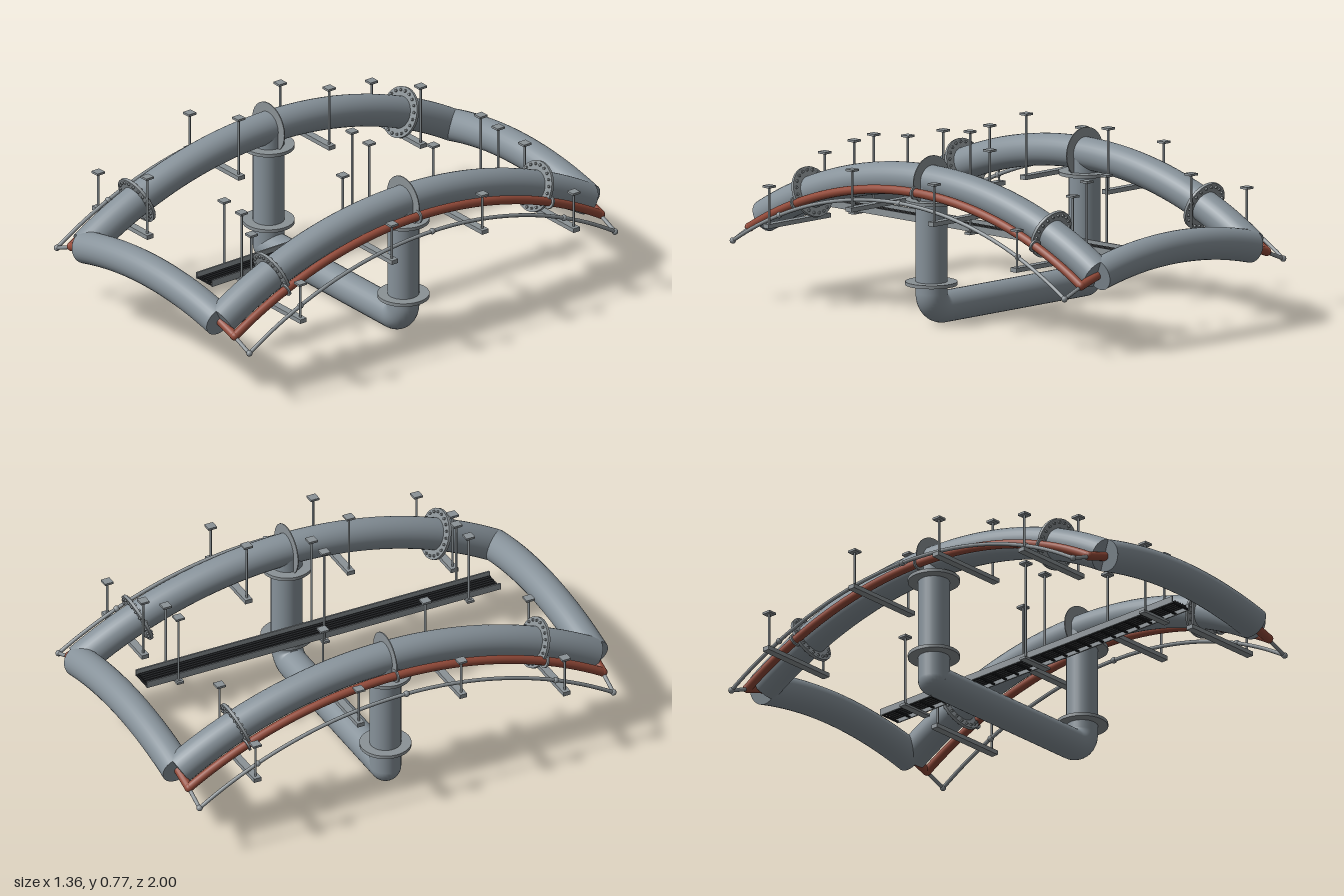
import * as THREE from 'three';

const mat = (name, color) => {
  const m = new THREE.MeshStandardMaterial({ color, side: THREE.DoubleSide });
  m.name = name;
  return m;
};

// Shallow circular arch; axis 'z' runs front to back, axis 'x' runs across
class ArchCurve extends THREE.Curve {
  constructor(axis, fixed, top, half, sag) {
    super();
    Object.assign(this, { axis, fixed, top, half });
    this.R = (half * half + sag * sag) / (2 * sag);
    this.a = Math.asin(half / this.R);
  }
  getPoint(t, target = new THREE.Vector3()) {
    const a = (1 - 2 * t) * this.a, s = this.R * Math.sin(a);
    const y = this.top - this.R * (1 - Math.cos(a));
    return this.axis === 'z' ? target.set(this.fixed, y, s) : target.set(s, y, this.fixed);
  }
  // curve parameter at a given distance along the axis
  at(s) { return (1 - Math.asin(s / this.R) / this.a) / 2; }
}

export function createModel() {
  const root = new THREE.Group();
  root.name = 'pipeRack';
  const steel = mat('steel grey', 0x87929a);
  const fitting = mat('fitting grey', 0x8b9296);
  const red = mat('oxide red', 0x934a39);
  const dark = mat('cable black', 0x232528);
  const Z = new THREE.Vector3(0, 0, 1), Y = new THREE.Vector3(0, 1, 0);

  const add = (name, geo, material, pos = [0, 0, 0], parent = root) => {
    const m = new THREE.Mesh(geo, material);
    m.name = name;
    m.position.set(...pos);
    parent.add(m);
    return m;
  };
  const box = (name, size, pos, material) => add(name, new THREE.BoxGeometry(...size), material, pos);

  // Straight pipe between two points
  const rod = (name, a, b, r, material, sides = 10) => {
    const p = new THREE.Vector3(...a), q = new THREE.Vector3(...b), d = q.clone().sub(p);
    const m = add(name, new THREE.CylinderGeometry(r, r, d.length(), sides), material, p.add(q).multiplyScalar(0.5).toArray());
    m.quaternion.setFromUnitVectors(Y, d.normalize());
    return m;
  };

  // Curved pipe with closed ends
  const pipe = (name, curve, r, material, sides = 28, steps = 48) => {
    add(name, new THREE.TubeGeometry(curve, steps, r, sides), material);
    for (const t of [0, 1]) {
      const cap = add(name + 'Cap', new THREE.CircleGeometry(r, sides), material, curve.getPoint(t).toArray());
      cap.quaternion.setFromUnitVectors(Z, curve.getTangent(t).multiplyScalar(t ? 1 : -1));
    }
  };

  // Flat ring around a pipe, optionally with a circle of bolts
  const flange = (name, pos, dir, rOut, thick, bolts = 0) => {
    const g = new THREE.Group();
    g.name = name;
    g.position.copy(pos);
    g.quaternion.setFromUnitVectors(Y, dir.clone().normalize());
    root.add(g);
    add('ring', new THREE.CylinderGeometry(rOut, rOut, thick, 32), fitting, [0, 0, 0], g);
    for (let i = 0; i < bolts; i++) {
      const a = (i / bolts) * Math.PI * 2;
      add('bolt', new THREE.CylinderGeometry(0.006, 0.006, thick + 0.014, 6), fitting,
        [0.09 * Math.cos(a), 0, 0.09 * Math.sin(a)], g);
    }
  };

  // Threaded hanger with a ceiling plate
  const hanger = (x, z, bottom, top) => {
    rod('hangerRod', [x, bottom, z], [x, top, z], 0.005, fitting, 8);
    box('hangerPlate', [0.038, 0.009, 0.038], [x, top, z], fitting);
    box('hangerFoot', [0.02, 0.012, 0.02], [x, bottom, z], fitting);
  };

  for (const s of [1, -1]) {
    // Main arched side pipe and its flanges
    const main = new ArchCurve('z', s * 0.44, 0.585, 0.93, 0.26);
    pipe('sidePipe', main, 0.066, steel);
    for (const z of [0.67, 0, -0.67]) {
      const t = main.at(z);
      flange('archFlange', main.getPoint(t), main.getTangent(t), 0.105, z ? 0.012 : 0.004, z ? 20 : 0);
    }

    // Arched cross pipe at the front and back
    pipe('crossPipe', new ArchCurve('x', s * 0.934, 0.378, 0.44, 0.055), 0.066, steel);

    // Red service pipe with end elbows and clamps
    const service = new ArchCurve('z', s * 0.533, 0.55, 0.93, 0.26);
    pipe('servicePipe', service, 0.018, red, 16);
    for (const z of [0.67, 0, -0.67]) {
      const t = service.at(z);
      flange('serviceClamp', service.getPoint(t), service.getTangent(t), 0.028, 0.008);
    }

    // Slim outer conduit
    const conduit = new ArchCurve('z', s * 0.628, 0.52, 0.93, 0.272);
    pipe('conduit', conduit, 0.008, fitting, 10);
    for (const z of [0.93, 0.67, 0, -0.67, -0.93])
      add('conduitJoint', new THREE.SphereGeometry(0.013, 12, 8), fitting, conduit.getPoint(conduit.at(z)).toArray());
    for (const z of [0.93, -0.93]) {
      rod('serviceElbow', [s * 0.43, 0.323, z], [s * 0.535, 0.289, z], 0.018, red, 16);
      add('serviceJoint', new THREE.SphereGeometry(0.019, 14, 10), red, [s * 0.533, 0.29, z]);
      rod('conduitLink', [s * 0.535, 0.286, z], [s * 0.628, 0.248, z], 0.008, fitting);
    }

    // Support bars on paired hangers
    for (const [z, y] of [[0.23, 0.47], [-0.23, 0.47], [0.695, 0.343], [-0.695, 0.343]]) {
      box('supportBar', [0.36, 0.018, 0.032], [s * 0.5, y, z], fitting);
      hanger(s * 0.34, z, y, y + 0.257);
      hanger(s * 0.66, z, y, y + 0.16);
    }

    // Drop pipe with two flanges
    rod('dropPipe', [s * 0.44, 0.57, 0], [s * 0.44, s > 0 ? 0.13 : 0.065, 0], 0.064, steel, 28);
    for (const y of [0.17, 0.505])
      flange('dropFlange', new THREE.Vector3(s * 0.44, y, 0), Y, 0.105, 0.014);
  }

  // Bottom return pipe: tight corner on one side, swept elbow on the other
  rod('returnPipe', [-0.44, 0.065, 0], [0.375, 0.065, 0], 0.064, steel, 28);
  add('tightCorner', new THREE.SphereGeometry(0.064, 28, 16), steel, [-0.44, 0.065, 0]);
  const elbow = add('sweptElbow', new THREE.TorusGeometry(0.065, 0.064, 28, 16, Math.PI / 2), steel, [0.375, 0.13, 0]);
  elbow.rotation.z = -Math.PI / 2;

  // Cable tray: side rails, rungs and cables
  const trayX = 0.16;
  for (const s of [1, -1]) box('trayRail', [0.006, 0.028, 1.59], [trayX + s * 0.049, 0.362, 0], fitting);
  for (let i = 0; i <= 24; i++)
    box('trayRung', [0.096, 0.006, 0.008], [trayX, 0.352, -0.79 + i * 0.0658], dark);
  for (let i = 0; i < 5; i++)
    rod('cable', [0.134 + i * 0.014, 0.361, -0.79], [0.134 + i * 0.014, 0.361, 0.79], 0.0055, dark, 8);

  // Tray cradles and hangers
  for (const z of [-0.655, 0, 0.65]) {
    box('trayCradle', [0.15, 0.01, 0.03], [trayX, 0.344, z], fitting);
    for (const x of [0.105, 0.218]) hanger(x, z, 0.345, (z ? 0.648 : 0.768) - (x > 0.2 ? 0.01 : 0));
  }
  return root;
}
